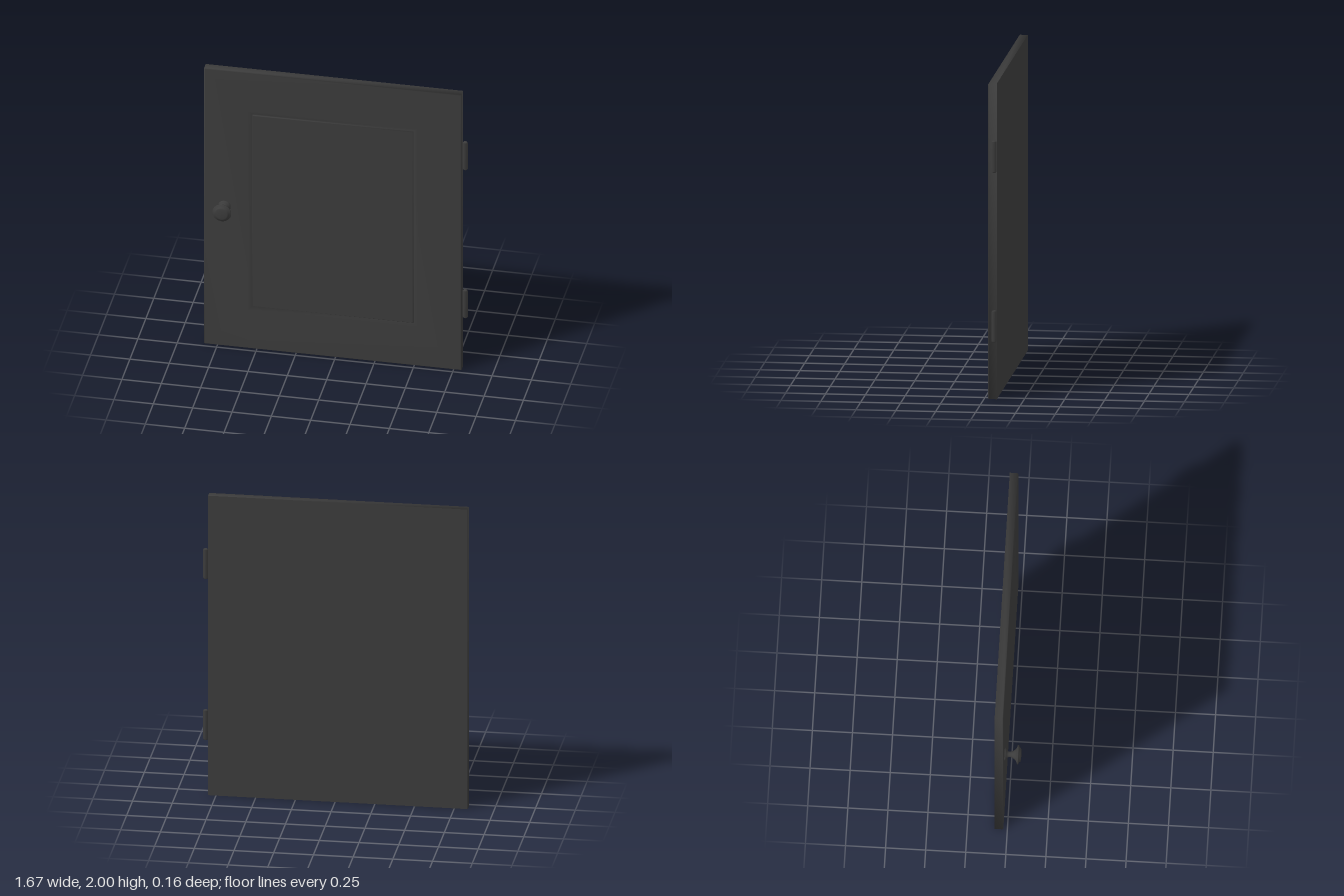
import * as THREE from 'three';

const material = new THREE.MeshStandardMaterial({ color: 0x3c3c3c });

// Rectangular rings [inset, z] joined with shared corners, closed by a cap at the end.
function ringGeometry(rings, x0, x1, y0, y1) {
  const pos = [], index = [];
  for (const [d, z] of rings) {
    pos.push(x0 + d, y0 + d, z, x1 - d, y0 + d, z, x1 - d, y1 - d, z, x0 + d, y1 - d, z);
  }
  for (let r = 0; r < rings.length - 1; r++) {
    for (let i = 0; i < 4; i++) {
      const a = r * 4 + i, b = r * 4 + (i + 1) % 4;
      index.push(a, b, b + 4, a, b + 4, a + 4);
    }
  }
  const c = (rings.length - 1) * 4;
  index.push(c, c + 1, c + 2, c, c + 2, c + 3);
  const geo = new THREE.BufferGeometry();
  geo.setAttribute('position', new THREE.Float32BufferAttribute(pos, 3));
  geo.setIndex(index);
  geo.computeVertexNormals();
  return geo;
}

function lathe(profile, segments, start = 0) {
  const points = profile.map(([r, y]) => new THREE.Vector2(r, y));
  return new THREE.LatheGeometry(points, segments, start);
}

export function createModel() {
  const group = new THREE.Group();
  const add = (name, geo, x = 0, y = 0, z = 0) => {
    const mesh = new THREE.Mesh(geo, material);
    mesh.name = name;
    mesh.position.set(x, y, z);
    group.add(mesh);
    return mesh;
  };

  // Door: edges, flat frame, sloped groove and raised centre panel
  const left = -0.835, right = 0.8;
  add('doorFront', ringGeometry([
    [0, -0.08], [0, -0.031], [0.006, -0.025],
    [0.279, -0.025], [0.304, -0.04], [0.307, -0.029], [0.311, -0.027],
  ], left, right, 0, 2));

  // Flat back of the door
  const back = new THREE.PlaneGeometry(right - left, 2);
  back.rotateY(Math.PI);
  add('doorBack', back, (left + right) / 2, 1, -0.08);

  // Turned knob with a foot, waist and wide rim
  const knob = lathe([
    [0, -0.005], [0.04, -0.005], [0.04, 0.004], [0.034, 0.01], [0.024, 0.016],
    [0.018, 0.026], [0.018, 0.04], [0.022, 0.053], [0.034, 0.068], [0.044, 0.075],
    [0.059, 0.08], [0.06, 0.085], [0.057, 0.089], [0.046, 0.093], [0.044, 0.1],
    [0.036, 0.103], [0.018, 0.1045], [0, 0.105],
  ], 32);
  add('knob', knob, -0.705, 1.015, -0.025).rotation.x = Math.PI / 2;

  // Two slim hinge barrels on the edge
  const barrel = lathe([
    [0, -0.1], [0.012, -0.1], [0.0165, -0.094], [0.0165, 0.094], [0.012, 0.1], [0, 0.1],
  ], 6, Math.PI / 2);
  add('lowerHinge', barrel, 0.8165, 0.465, -0.065);
  add('upperHinge', barrel, 0.8165, 1.54, -0.065);

  return group;
}
